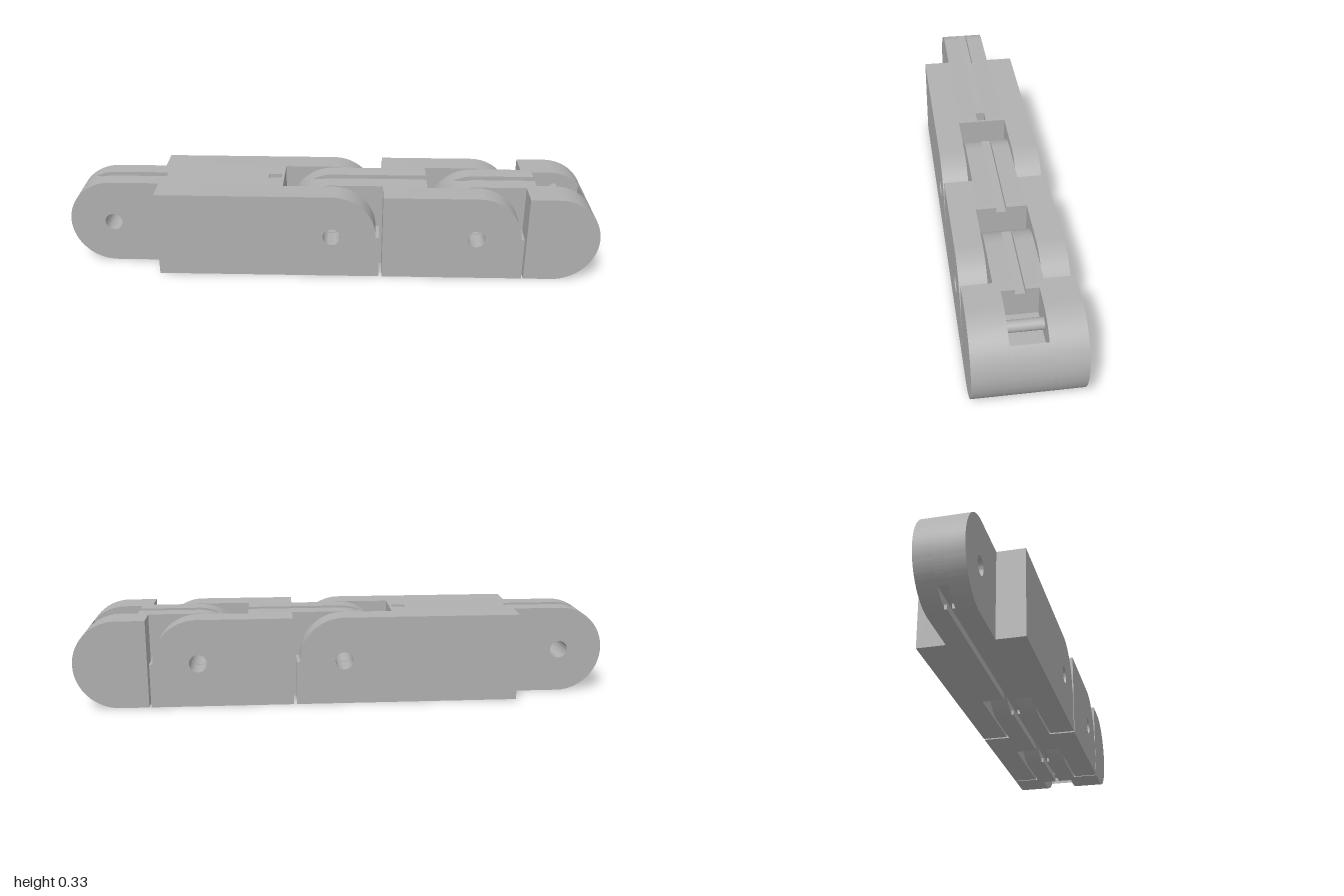
import * as THREE from 'three';
import { toCreasedNormals } from 'three/addons/utils/BufferGeometryUtils.js';

const R = 0.165;        // end radius and hinge height
const H = 0.33;         // link height
const HALF_W = 0.185;   // half width of the bodies
const TONGUE = 0.083;   // half width of the tongues
const SLOT = 0.09;      // half width of the fork slots
const POCKET = 0.062;   // half width of the fingertip pockets
const T_NECK = 0.008, T_HEAD = 0.017; // half widths of the tendon channel

export function createModel() {
  const plastic = new THREE.MeshStandardMaterial({ color: 0xb0b0b0 });
  const model = new THREE.Group();
  model.name = 'jointedFinger';

  // Extrude a side profile between two z positions
  function slab(parent, name, shape, z0, z1) {
    const geo = new THREE.ExtrudeGeometry(shape, { depth: z1 - z0, bevelEnabled: false, curveSegments: 28 });
    geo.translate(0, 0, z0);
    const mesh = new THREE.Mesh(toCreasedNormals(geo, 0.5), plastic);
    mesh.name = name;
    parent.add(mesh);
  }
  function pair(parent, name, shape, z0, z1) {
    slab(parent, name + 'Left', shape, z0, z1);
    slab(parent, name + 'Right', shape, -z1, -z0);
  }

  function polygon(points) {
    return new THREE.Shape(points.map(([x, y]) => new THREE.Vector2(x, y)));
  }
  const rect = (x0, y0, x1, y1) => polygon([[x0, y0], [x1, y0], [x1, y1], [x0, y1]]);

  function drill(shape, x) {
    const hole = new THREE.Path();
    hole.absarc(x, R, 0.033, 0, Math.PI * 2, true);
    shape.holes.push(hole);
    return shape;
  }

  // Tongue profile: right-hand outline, then a round left end about the hinge
  function tongue(hinge, outline, yTop, yBottom) {
    const s = new THREE.Shape();
    outline.forEach(([x, y], i) => (i ? s.lineTo(x, y) : s.moveTo(x, y)));
    const top = Math.PI - Math.asin((yTop - R) / R);
    const bottom = Math.PI + Math.asin((R - yBottom) / R);
    // a full-height end keeps exactly the half circle
    s.absarc(hinge, R, R, top, bottom, false);
    s.closePath();
    return drill(s, hinge);
  }

  // Body side with a fork ear rounded at the top
  function ear(x0, hinge) {
    const s = new THREE.Shape();
    s.moveTo(x0, 0);
    s.lineTo(hinge + 0.178, 0);
    s.lineTo(hinge + 0.178, R);
    s.lineTo(hinge + R, R);
    s.absarc(hinge, R, R, 0, Math.PI / 2, false);
    s.lineTo(x0, H);
    s.closePath();
    return drill(s, hinge);
  }

  // Core layers shared by every link: groove on top, T channel below
  function core(g, hinge, end, grooved, plain, plainHalf) {
    slab(g, 'channelRoof', tongue(hinge, grooved(0.042), 0.31, 0.042), -T_HEAD, T_HEAD);
    pair(g, 'channelLip', rect(hinge - 0.04, 0, end, 0.017), T_NECK, T_HEAD);
    pair(g, 'tongueSide', tongue(hinge, plain, H, 0), T_HEAD, plainHalf);
  }

  // Two forked links
  const links = [
    { name: 'lowerLink', hinge: -0.835, start: -0.65, end: -0.18, fork: 0.005,
      top: [[-0.18, H], [-0.19, H], [-0.19, 0.29], [-0.24, 0.29], [-0.24, H], [-0.63, H], [-0.63, 0.31]] },
    { name: 'middleLink', hinge: 0.005, start: 0.195, end: 0.36, fork: 0.545, top: [[0.36, 0.31]] },
  ];
  for (const { name, hinge, start, end, fork, top } of links) {
    const g = new THREE.Group();
    g.name = name;
    core(g, hinge, end, (y) => [[end, y], ...top], [[end, 0], [end, H]], TONGUE);
    pair(g, 'slotBack', rect(start, 0, end, H), TONGUE, SLOT);
    pair(g, 'forkEar', ear(start, fork), SLOT, HALF_W);
    model.add(g);
  }

  // Fingertip with a pocket above and below
  const tip = new THREE.Group();
  tip.name = 'fingertip';
  const hinge = 0.545, start = 0.73, tipX = 0.835, px0 = 0.77, px1 = 0.955;
  const tipArc = (limit) => {
    const pts = [];
    for (let i = 0; i <= 32; i++) {
      const a = limit * (i / 16 - 1);
      pts.push([tipX + R * Math.cos(a), R + R * Math.sin(a)]);
    }
    return pts;
  };
  const pocketed = (yBottom, yTop) => [
    [px0, yBottom], [px0, 0.11], [px1, 0.11],
    ...tipArc(Math.acos((px1 - tipX) / R)),
    [px1, 0.22], [px0, 0.22], [px0, yTop],
  ];
  core(tip, hinge, px0, (y) => pocketed(y, 0.31), pocketed(0, H), POCKET);
  pair(tip, 'pocketSide', tongue(hinge, tipArc(Math.PI / 2), H, 0), POCKET, TONGUE);
  pair(tip, 'tipCheek', polygon([[start, 0], ...tipArc(Math.PI / 2), [start, H]]), TONGUE, HALF_W);

  // Tendon pins across the pockets
  for (const y of [0.067, H - 0.067]) {
    const geo = new THREE.CylinderGeometry(0.02, 0.02, POCKET * 2, 24);
    geo.rotateX(Math.PI / 2);
    const pin = new THREE.Mesh(geo, plastic);
    pin.name = 'tendonPin';
    pin.position.set(0.86, y, 0);
    tip.add(pin);
  }
  model.add(tip);
  return model;
}
